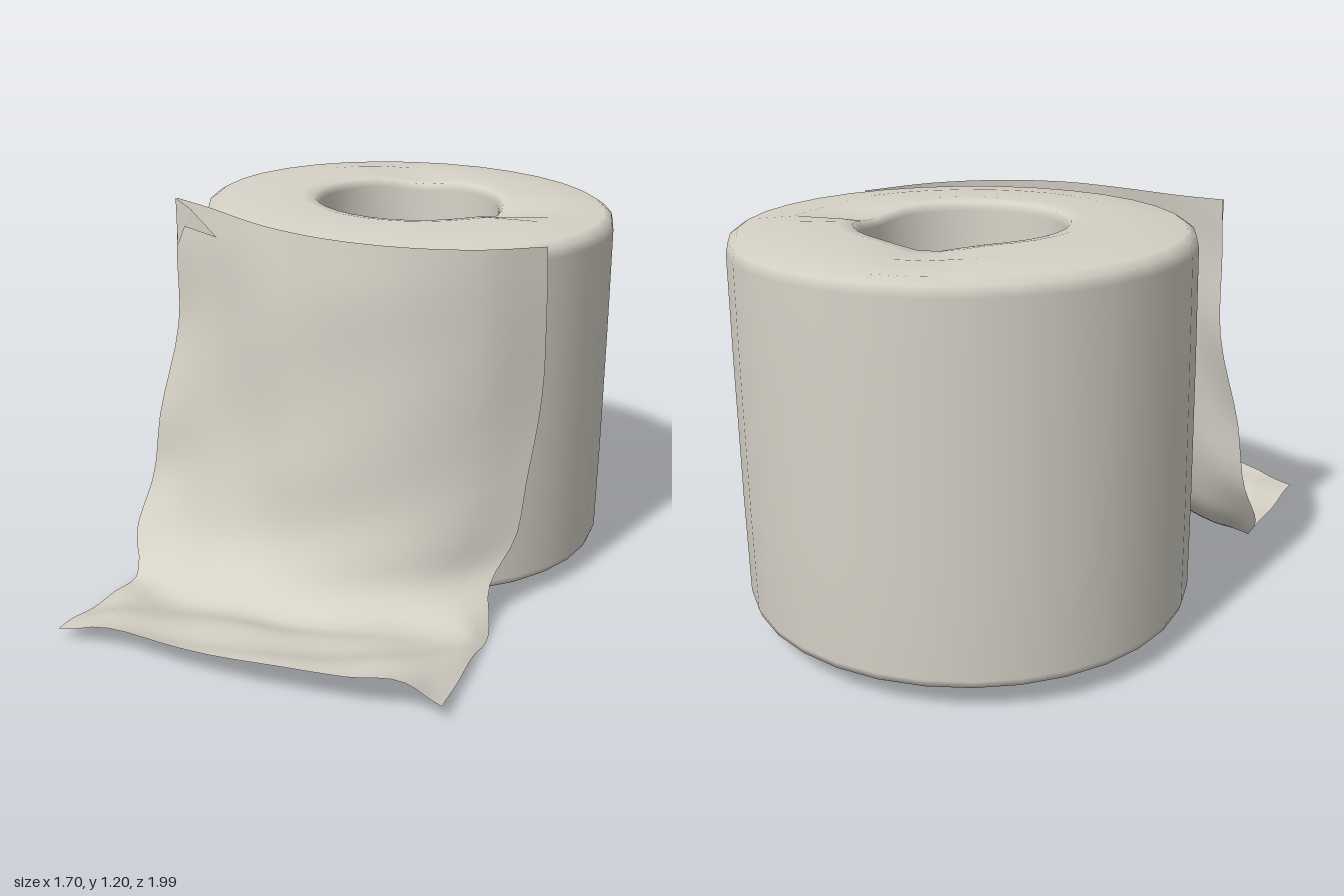
import * as THREE from 'three';

const paper = new THREE.MeshStandardMaterial({ color: 0xd5d1c6, side: THREE.DoubleSide });
paper.name = 'warm white paper';

const rollX = -0.167, rollZ = -0.35;
const toVectors = (pts) => pts.map((q) => new THREE.Vector3(...q));

// Roll: closed lathe with a deep core hole, softened edges and a slightly slanted top
function makeRoll() {
  const profile = [
    [0, 0.07], [0.4, 0.07], [0.64, 0.07], [0.668, 0.078], [0.676, 0.1], [0.679, 0.4], [0.679, 0.8],
    [0.677, 1.12], [0.67, 1.15], [0.645, 1.166], [0.5, 1.18], [0.36, 1.182], [0.315, 1.175],
    [0.3, 1.15], [0.295, 0.7], [0.28, 0.3], [0.24, 0.22], [0, 0.2],
  ].map(([r, y]) => new THREE.Vector2(r, y));
  const geo = new THREE.LatheGeometry(profile, 32);
  const p = geo.attributes.position;
  for (let i = 0; i < p.count; i++) {
    const x = p.getX(i), y = p.getY(i), z = p.getZ(i);
    const up = y / 1.18;
    let h = y + up * (-0.036 * x - 0.012 * z) - (1 - up) * 0.012 * x;
    // shallow dents next to the core
    if (y > 1.1) {
      for (const [dx, dz] of [[-0.24, -0.3], [0.34, -0.16]]) {
        h -= 0.03 * Math.exp(-((x - dx) ** 2 + (z - dz) ** 2) / 0.012);
      }
    }
    p.setXYZ(i, x - 0.012 * (1 - up), h, z * 0.96);
  }
  geo.computeVertexNormals();
  // match normals across the lathe seam
  const n = geo.attributes.normal, last = p.count - profile.length;
  for (let a = 0; a < profile.length; a++) {
    const v = new THREE.Vector3().fromBufferAttribute(n, a)
      .add(new THREE.Vector3().fromBufferAttribute(n, last + a)).normalize();
    n.setXYZ(a, v.x, v.y, v.z);
    n.setXYZ(last + a, v.x, v.y, v.z);
  }
  const mesh = new THREE.Mesh(geo, paper);
  mesh.name = 'paperRoll';
  mesh.position.set(rollX, 0, rollZ);
  return mesh;
}

// Cross-section of the hanging sheet: a free left edge, then an arc around the roll
function hangingSection([y, leftX, leftZ, gap, rightZ]) {
  const rx = 0.683, rz = 0.652;
  const end = Math.acos((rightZ - rollZ) / rz);
  const pts = [[leftX, y, leftZ], [leftX + 0.15, y * 0.99, leftZ * 0.4 + (0.3 + gap) * 0.6]];
  for (let i = 0; i < 5; i++) {
    const k = i / 4, t = 0.1 + (end - 0.1) * k, g = gap * (1 - 0.6 * k);
    pts.push([rollX + (rx + g) * Math.sin(t), y * (0.975 - 0.035 * k), rollZ + (rz + g) * Math.cos(t)]);
  }
  return toVectors(pts);
}

// Loose sheet: down the roll's side, then out along the ground
function makeSheet() {
  // height, left edge x and z, gap from the roll, right edge z
  const hanging = [
    [1.21, -0.5, 0.33, -0.006, -0.28],
    [1.05, -0.5, 0.335, 0.012, -0.28],
    [0.8, -0.51, 0.34, 0.02, -0.28],
    [0.5, -0.525, 0.41, 0.04, -0.24],
    [0.28, -0.53, 0.45, 0.075, -0.19],
    [0.13, -0.5, 0.53, 0.15, -0.1],
  ].map(hangingSection);
  const bend = toVectors([
    [-0.4, 0.03, 0.61], [-0.26, 0.02, 0.6], [-0.01, 0.05, 0.54], [0.24, 0.06, 0.44],
    [0.46, 0.05, 0.27], [0.58, 0.04, 0.1], [0.6, 0.02, 0.01],
  ]);
  const edge = toVectors([
    [-0.22, 0.04, 0.99], [-0.11, 0.08, 0.94], [0.14, 0.09, 0.85], [0.42, 0.1, 0.73],
    [0.64, 0.12, 0.6], [0.77, 0.11, 0.5], [0.85, 0.05, 0.44],
  ]);
  const ground = [0, 0.35, 0.7, 1].map((k) => bend.map((b, i) => b.clone().lerp(edge[i], k)));
  const rails = [...hanging, ...ground].map((pts) => new THREE.CatmullRomCurve3(pts));

  const cols = 24, rows = 36;
  const geo = new THREE.PlaneGeometry(1, 1, cols, rows);
  const p = geo.attributes.position;
  for (let i = 0; i <= cols; i++) {
    const u = i / cols;
    const column = new THREE.CatmullRomCurve3(rails.map((r) => r.getPoint(u)));
    for (let j = 0; j <= rows; j++) {
      const v = j / rows, q = column.getPoint(v);
      // gentle creases that fade near the top of the roll
      const amp = 0.009 * Math.min(1, v * 3);
      const w = amp * Math.sin(u * 17 + v * 9) * Math.sin(v * 21 - u * 6);
      if (v < 0.6) q.z += w + amp * 0.4;
      else q.y = Math.max(0, q.y + w);
      p.setXYZ(j * (cols + 1) + i, q.x, q.y, q.z);
    }
  }
  geo.computeVertexNormals();
  const mesh = new THREE.Mesh(geo, paper);
  mesh.name = 'looseSheet';
  return mesh;
}

// Small folded corner at the sheet's top left
function makeFold() {
  const geo = new THREE.BufferGeometry().setFromPoints(toVectors([
    [-0.5, 1.21, 0.335], [-0.49, 1.06, 0.34], [-0.4, 1.19, 0.345],
    [-0.4, 1.19, 0.345], [-0.44, 1.13, 0.345], [-0.28, 1.12, 0.335],
  ]));
  geo.computeVertexNormals();
  const mesh = new THREE.Mesh(geo, paper);
  mesh.name = 'foldedCorner';
  return mesh;
}

export function createModel() {
  const group = new THREE.Group();
  group.name = 'toiletPaper';
  group.add(makeRoll(), makeSheet(), makeFold());
  return group;
}
